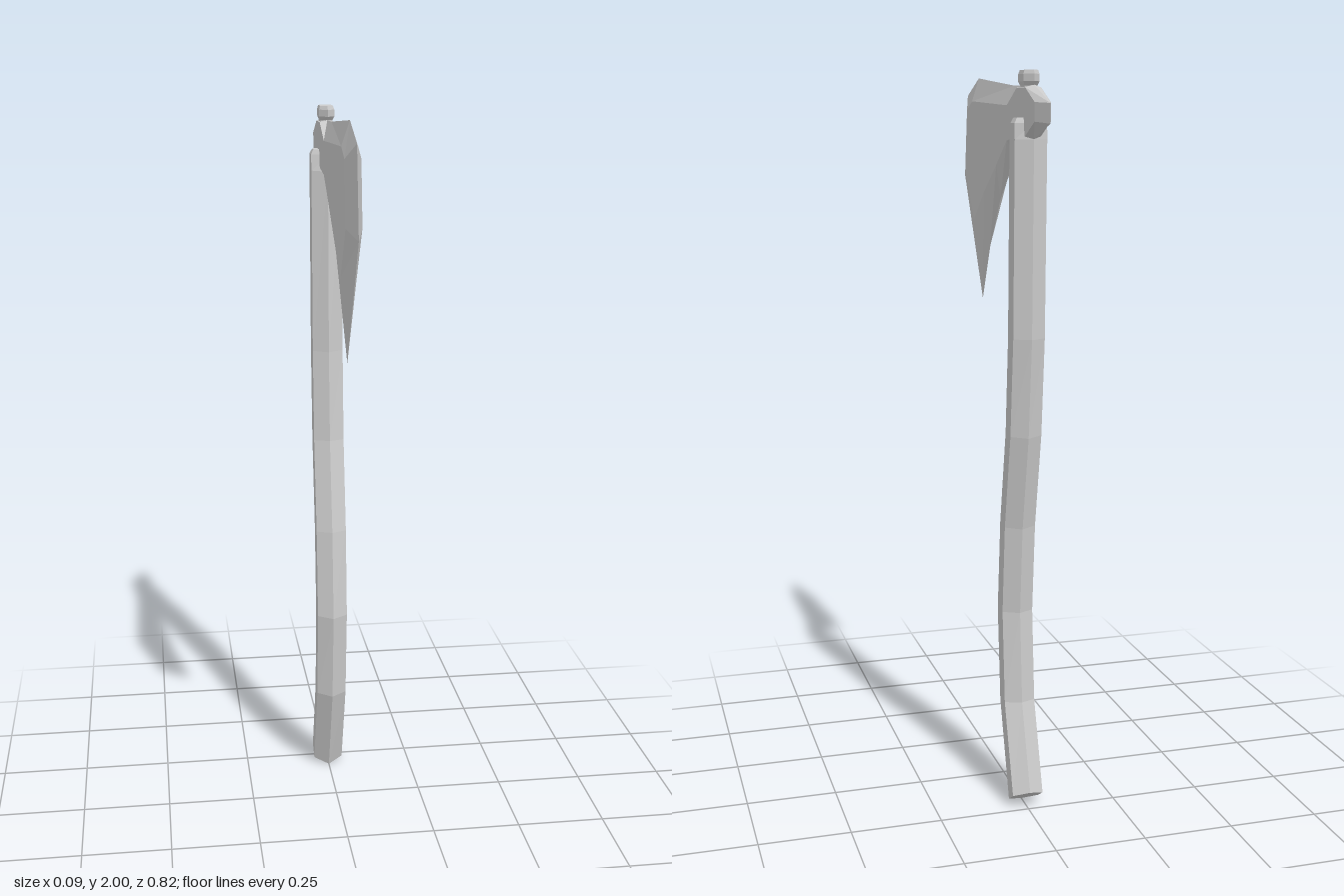
import * as THREE from 'three';

const material = new THREE.MeshStandardMaterial({ color: 0xcccccc, flatShading: true });

// Flat-shaded mesh from a list of triangles
function facetedMesh(name, triangles) {
  const geometry = new THREE.BufferGeometry();
  geometry.setAttribute('position', new THREE.Float32BufferAttribute(triangles.flat(2), 3));
  geometry.computeVertexNormals();
  const mesh = new THREE.Mesh(geometry, material);
  mesh.name = name;
  return mesh;
}

// Six-sided bar through rings given as [frontZ, frontY, backZ, backY, halfWidth]
function hexBar(name, rings) {
  const loops = rings.map(([fz, fy, bz, by, w]) =>
    [[0, 0], [w, 0.26], [w, 0.74], [0, 1], [-w, 0.74], [-w, 0.26]].map(([x, t]) =>
      [x, fy + (by - fy) * t, fz + (bz - fz) * t]));
  const tris = [];
  for (let i = 0; i < loops.length - 1; i++) {
    const a = loops[i], b = loops[i + 1];
    for (let j = 0; j < 6; j++) {
      const k = (j + 1) % 6;
      tris.push([a[j], a[k], b[k]], [a[j], b[k], b[j]]);
    }
  }
  const bottom = loops[0], top = loops[loops.length - 1];
  for (let j = 1; j < 5; j++) {
    tris.push([top[0], top[j], top[j + 1]], [bottom[0], bottom[j + 1], bottom[j]]);
  }
  return facetedMesh(name, tris);
}

// Head: sharp outline on the centre plane, bevelled up to a flat cheek on each side
function axeHead() {
  const halfThickness = 0.021;
  // [edge z, edge y, cheek z, cheek y]
  const outline = [
    [0.254, 1.993, 0.25, 1.93],
    [0.376, 1.947, 0.307, 1.905],
    [0.413, 1.72, 0.33, 1.74],
    [0.217, 1.376, 0.235, 1.6],
    [0.138, 1.53, 0.13, 1.68],
    [0.032, 1.667, 0.0, 1.76],
    [-0.106, 1.794, -0.1, 1.825],
    [-0.19, 1.82, -0.19, 1.835],
    [-0.275, 1.83, -0.265, 1.837],
    [-0.407, 1.868, -0.345, 1.873],
    [-0.407, 1.917, -0.345, 1.92],
    [-0.275, 1.963, -0.265, 1.957],
    [-0.19, 1.963, -0.19, 1.957],
    [-0.1, 1.965, -0.1, 1.915],
  ];
  const cheek = outline.map((p) => new THREE.Vector2(p[2], p[3]));
  const faces = THREE.ShapeUtils.triangulateShape(cheek, []);
  const tris = [];
  for (const side of [1, -1]) {
    const add = (a, b, c) => tris.push(side > 0 ? [a, b, c] : [a, c, b]);
    const edge = outline.map(([z, y]) => [0, y, z]);
    const flat = outline.map(([, , z, y]) => [side * halfThickness, y, z]);
    // Bevels
    for (let i = 0; i < outline.length; i++) {
      const k = (i + 1) % outline.length;
      add(edge[i], edge[k], flat[k]);
      add(edge[i], flat[k], flat[i]);
    }
    // Cheek, with every triangle turned outward
    for (const [a, b, c] of faces) {
      const turn = cheek[b].clone().sub(cheek[a]).cross(cheek[c].clone().sub(cheek[a]));
      if (turn < 0) add(flat[a], flat[b], flat[c]);
      else add(flat[a], flat[c], flat[b]);
    }
  }
  return facetedMesh('axeHead', tris);
}

export function createModel() {
  const model = new THREE.Group();
  model.name = 'axe';

  // Curved handle, narrowing where it enters the head
  model.add(hexBar('handle', [
    [-0.18, 0.0, -0.265, 0.055, 0.043],
    [-0.09, 0.275, -0.185, 0.29, 0.043],
    [-0.063, 0.54, -0.164, 0.545, 0.043],
    [-0.09, 0.8, -0.185, 0.79, 0.043],
    [-0.143, 1.063, -0.238, 1.053, 0.043],
    [-0.164, 1.32, -0.265, 1.32, 0.043],
    [-0.176, 1.825, -0.275, 1.83, 0.043],
    [-0.19, 1.87, -0.268, 1.87, 0.043],
    [-0.195, 1.883, -0.262, 1.883, 0.036],
  ]));

  model.add(axeHead());

  // End of the handle standing proud of the head
  model.add(hexBar('handleTop', [
    [-0.19, 1.94, -0.266, 1.94, 0.017],
    [-0.19, 1.962, -0.266, 1.962, 0.017],
    [-0.178, 1.972, -0.277, 1.972, 0.021],
    [-0.178, 1.99, -0.277, 1.99, 0.021],
    [-0.185, 2.0, -0.271, 2.0, 0.018],
  ]));

  return model;
}
